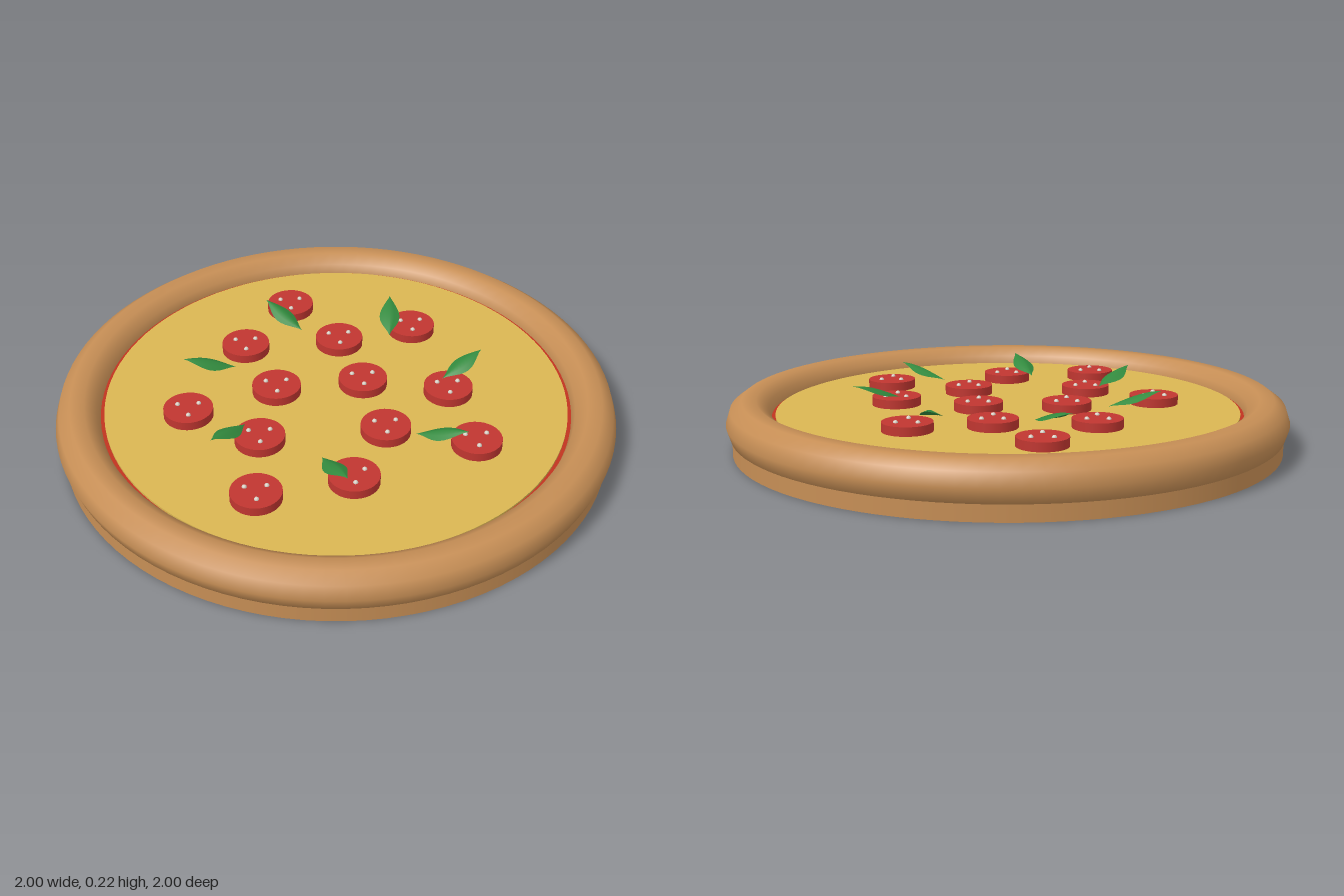
import * as THREE from 'three';

const material = (name, color, extra = {}) => {
  const m = new THREE.MeshStandardMaterial({ color, ...extra });
  m.name = name;
  return m;
};

// Leaf running from x = 0 (inner tip) to x = length (raised outer tip), with a centre ridge
function leafGeometry(length) {
  const geo = new THREE.PlaneGeometry(1, 2, 12, 4).rotateX(-Math.PI / 2);
  const p = geo.attributes.position;
  for (let i = 0; i < p.count; i++) {
    const t = p.getX(i) + 0.5;
    const v = p.getZ(i);
    const width = 0.038 * Math.pow(Math.max(0, Math.sin(Math.PI * t)), 1.4);
    const rise = 0.055 * Math.sin(t * Math.PI / 2);
    p.setXYZ(i, t * length, rise - 0.45 * width * Math.abs(v), v * width);
  }
  geo.computeVertexNormals();
  return geo;
}

export function createModel() {
  const crust = material('crust', 0xc68e55);
  const sauce = material('sauce', 0xc0331f);
  const cheese = material('cheese', 0xdab652);
  const pepperoni = material('pepperoni', 0xc03630);
  const fleck = material('fleck', 0xd8cfc4);
  const basil = material('basil', 0x328a3e, { side: THREE.DoubleSide });

  const pizza = new THREE.Group();
  pizza.name = 'pizza';
  const add = (name, geometry, mat, parent, x = 0, y = 0, z = 0) => {
    const mesh = new THREE.Mesh(geometry, mat);
    mesh.name = name;
    mesh.position.set(x, y, z);
    parent.add(mesh);
    return mesh;
  };
  const disc = (r, h, n = 96) => new THREE.CylinderGeometry(r, r, h, n);

  // Dough, rim and the two filling layers
  add('base', disc(0.98, 0.07), crust, pizza, 0, 0.035, 0);
  add('crustRim', new THREE.TorusGeometry(0.918, 0.082, 10, 96).rotateX(-Math.PI / 2), crust, pizza, 0, 0.107, 0);
  add('sauceLayer', disc(0.842, 0.06), sauce, pizza, 0, 0.092, 0);
  add('cheeseLayer', disc(0.828, 0.06), cheese, pizza, 0, 0.1, 0);

  // Pepperoni slices, each with three pale flecks
  const sliceGeo = disc(0.088, 0.04, 32);
  const fleckGeo = new THREE.SphereGeometry(0.009, 8, 6);
  const slices = [
    [0.18, -0.56], [-0.11, -0.43], [-0.49, -0.21], [-0.16, -0.145], [0.2, -0.26],
    [0.475, -0.17], [0.12, 0], [-0.365, 0.06], [-0.535, 0.3], [-0.225, 0.42],
    [0.02, 0.27], [0.34, 0.22], [0.23, 0.51],
  ];
  for (const [x, z] of slices) {
    const slice = new THREE.Group();
    slice.name = 'pepperoniSlice';
    slice.position.set(x, 0.142, z);
    add('slice', sliceGeo, pepperoni, slice);
    for (let i = 0; i < 3; i++) {
      const a = i * Math.PI * 2 / 3;
      add('fleck', fleckGeo, fleck, slice, 0.043 * Math.cos(a), 0.02, 0.043 * Math.sin(a));
    }
    pizza.add(slice);
  }

  // Basil leaves: inner tip x, z and raised outer tip x, z
  const leaves = [
    [-0.225, -0.315, -0.395, -0.4], [0.105, -0.37, 0.065, -0.555], [0.355, -0.15, 0.47, -0.3],
    [0.345, 0.18, 0.525, 0.18], [0.07, 0.375, 0.18, 0.525], [-0.265, 0.29, -0.295, 0.48],
    [-0.38, -0.01, -0.555, 0.055],
  ];
  for (const [x0, z0, x1, z1] of leaves) {
    const leaf = add('basilLeaf', leafGeometry(Math.hypot(x1 - x0, z1 - z0)), basil, pizza, x0, 0.165, z0);
    leaf.rotation.y = -Math.atan2(z1 - z0, x1 - x0);
  }
  return pizza;
}
